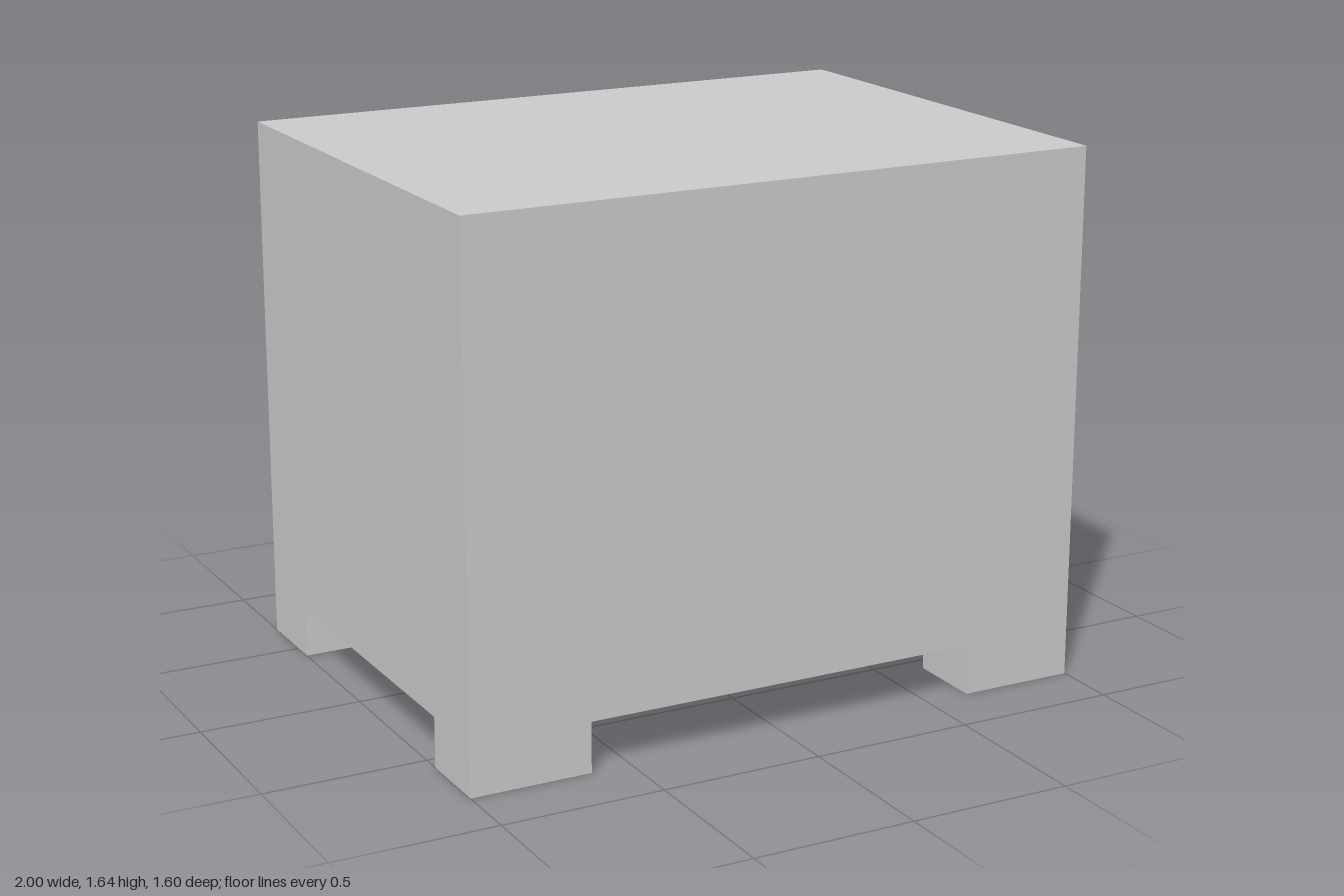
import * as THREE from 'three';

const grey = new THREE.MeshStandardMaterial({ color: 0xcccccc });

function add(group, name, geometry) {
  const mesh = new THREE.Mesh(geometry, grey);
  mesh.name = name;
  group.add(mesh);
  return mesh;
}

// Box given by its extents on each axis
function boxBetween([x0, x1], [y0, y1], [z0, z1]) {
  return new THREE.BoxGeometry(x1 - x0, y1 - y0, z1 - z0)
    .translate((x0 + x1) / 2, (y0 + y1) / 2, (z0 + z1) / 2);
}

export function createModel() {
  const cabinet = new THREE.Group();
  cabinet.name = 'cabinet';

  // Carcass
  const legTop = 0.155;
  add(cabinet, 'body', boxBetween([-1, 1], [legTop, 1.645], [-0.69, 0.8]));

  // Four corner legs, flush with the body sides
  for (const [xName, x] of [['right', [-1, -0.625]], ['left', [0.64, 1]]]) {
    for (const [zName, z] of [['Front', [0.56, 0.8]], ['Back', [-0.69, -0.43]]]) {
      add(cabinet, `${xName}${zName}Leg`, boxBetween(x, [0, legTop], z));
    }
  }

  // Pair of doors: plan outline with a V groove between them, extruded upwards
  const outer = 0.74, seam = -0.015;
  const plan = new THREE.Shape([
    [-0.755, 0.68], [0.73, 0.68], [0.73, outer],
    [seam + 0.023, outer], [seam, outer - 0.027], [seam - 0.023, outer],
    [-0.755, outer],
  ].map(([x, y]) => new THREE.Vector2(x, y)));
  const doors = new THREE.ExtrudeGeometry(plan, { depth: 1.04, bevelEnabled: false });
  doors.rotateX(-Math.PI / 2).translate(0, 0.36, 0);
  add(cabinet, 'doors', doors);

  // Oval knobs, partly sunk into the doors
  for (const [name, x] of [['rightKnob', -0.15], ['leftKnob', 0.147]]) {
    const knob = add(cabinet, name, new THREE.SphereGeometry(1, 24, 16));
    knob.scale.set(0.065, 0.05, 0.05);
    knob.position.set(x, 0.89, -0.753);
  }

  return cabinet;
}
